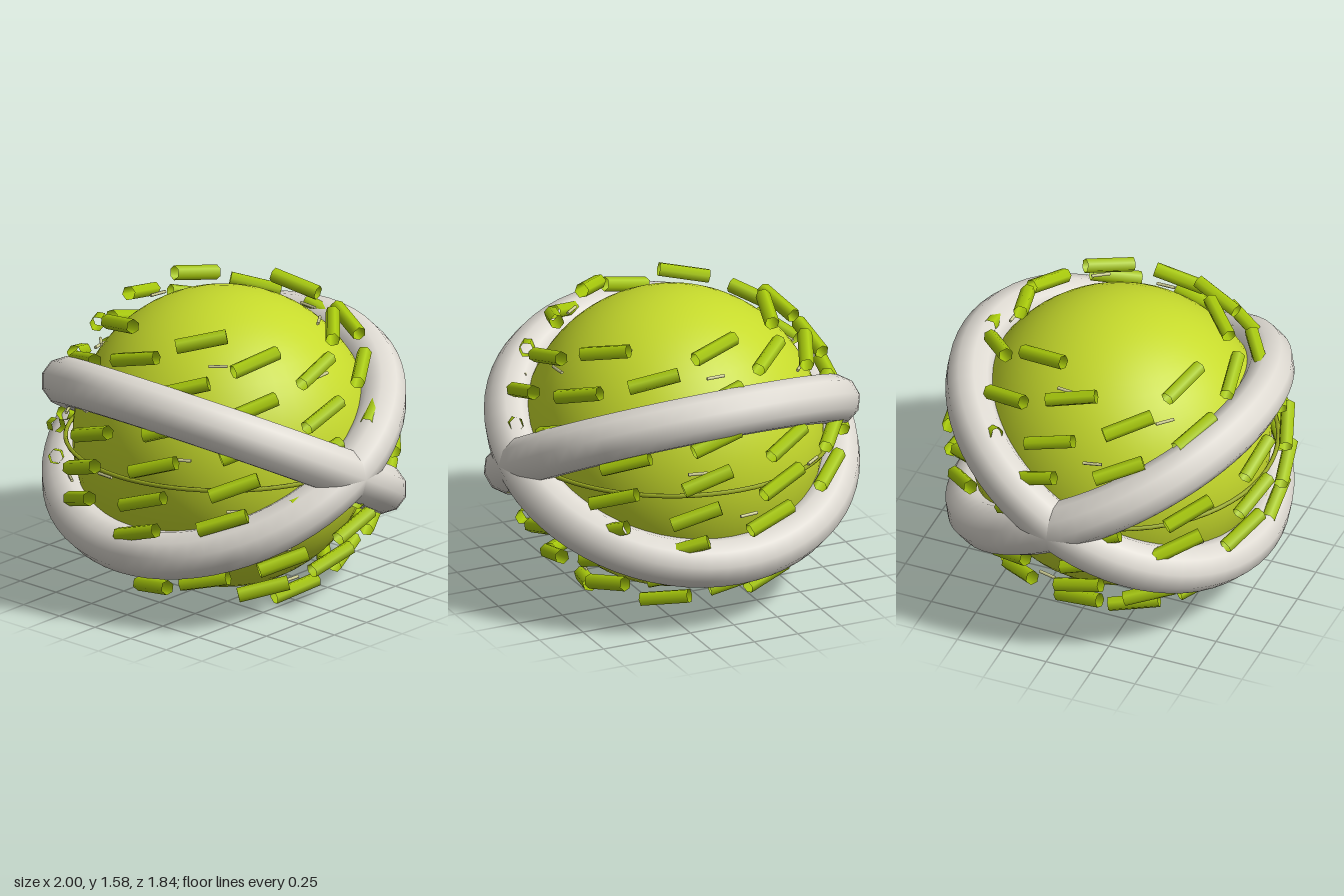
import * as THREE from 'three';

const CENTER_Y = 0.79;

function material(name, color, side = THREE.FrontSide) {
  const m = new THREE.MeshStandardMaterial({ color, side });
  m.name = name;
  return m;
}

// Lays short tubes on a sphere in a spiral, each leaning toward the upper pole.
function spiralTubes(name, geometry, mat, o) {
  const group = new THREE.Group();
  group.name = name + 's';
  const up = new THREE.Vector3(0, 1, 0);
  for (let i = 0; i < o.count; i++) {
    const a = THREE.MathUtils.degToRad(o.start + i * o.step);
    const c = o.top * (1 - (2 * i) / (o.count - 1));
    const s = Math.sqrt(1 - c * c);
    const east = new THREE.Vector3(Math.sin(a), 0, -Math.cos(a));
    const north = new THREE.Vector3(-c * Math.cos(a), s, -c * Math.sin(a));
    const dir = east.multiplyScalar(Math.cos(o.lean)).addScaledVector(north, Math.sin(o.lean));
    const mesh = new THREE.Mesh(geometry, mat);
    mesh.name = name;
    mesh.position.set(s * Math.cos(a), c, s * Math.sin(a)).multiplyScalar(o.radius);
    mesh.quaternion.setFromUnitVectors(up, dir);
    group.add(mesh);
  }
  return group;
}

export function createModel() {
  const model = new THREE.Group();
  model.name = 'feltBall';
  const ball = new THREE.Group();
  ball.name = 'ball';
  ball.position.y = CENTER_Y;
  model.add(ball);

  const felt = material('feltYellowGreen', 0xc6da2c);
  const fuzz = material('fuzzGreen', 0xaacc0c, THREE.DoubleSide);
  const white = material('seamOffWhite', 0xdedad2);
  const olive = material('equatorOlive', 0x98a820);
  const cream = material('hairCream', 0xd6d69a);

  // Core
  const core = new THREE.Mesh(new THREE.SphereGeometry(0.79, 48, 32), felt);
  core.name = 'core';
  ball.add(core);

  // Two crossing seam rings
  const seamGeometry = new THREE.TorusGeometry(0.87, 0.13, 10, 64);
  for (const tilt of [0.5, -0.5]) {
    const seam = new THREE.Mesh(seamGeometry, white);
    seam.name = tilt > 0 ? 'seamRingA' : 'seamRingB';
    seam.rotation.x = Math.PI / 2 + tilt;
    ball.add(seam);
  }

  // Thin ring around the equator
  const equator = new THREE.Mesh(new THREE.TorusGeometry(0.825, 0.012, 6, 64), olive);
  equator.name = 'equatorRing';
  equator.rotation.x = Math.PI / 2;
  ball.add(equator);

  // Open six-sided fuzz tubes
  ball.add(spiralTubes('fuzzTube',
    new THREE.CylinderGeometry(0.039, 0.039, 0.27, 6, 1, true), fuzz,
    { count: 89, start: 210.6, step: 210.33, top: 0.824, radius: 0.88, lean: 0.33 }));

  // Fine loose hairs
  ball.add(spiralTubes('hair',
    new THREE.CylinderGeometry(0.009, 0.009, 0.1, 5), cream,
    { count: 40, start: 326, step: -137.5, top: 0.8, radius: 0.83, lean: 0.03 }));

  return model;
}
